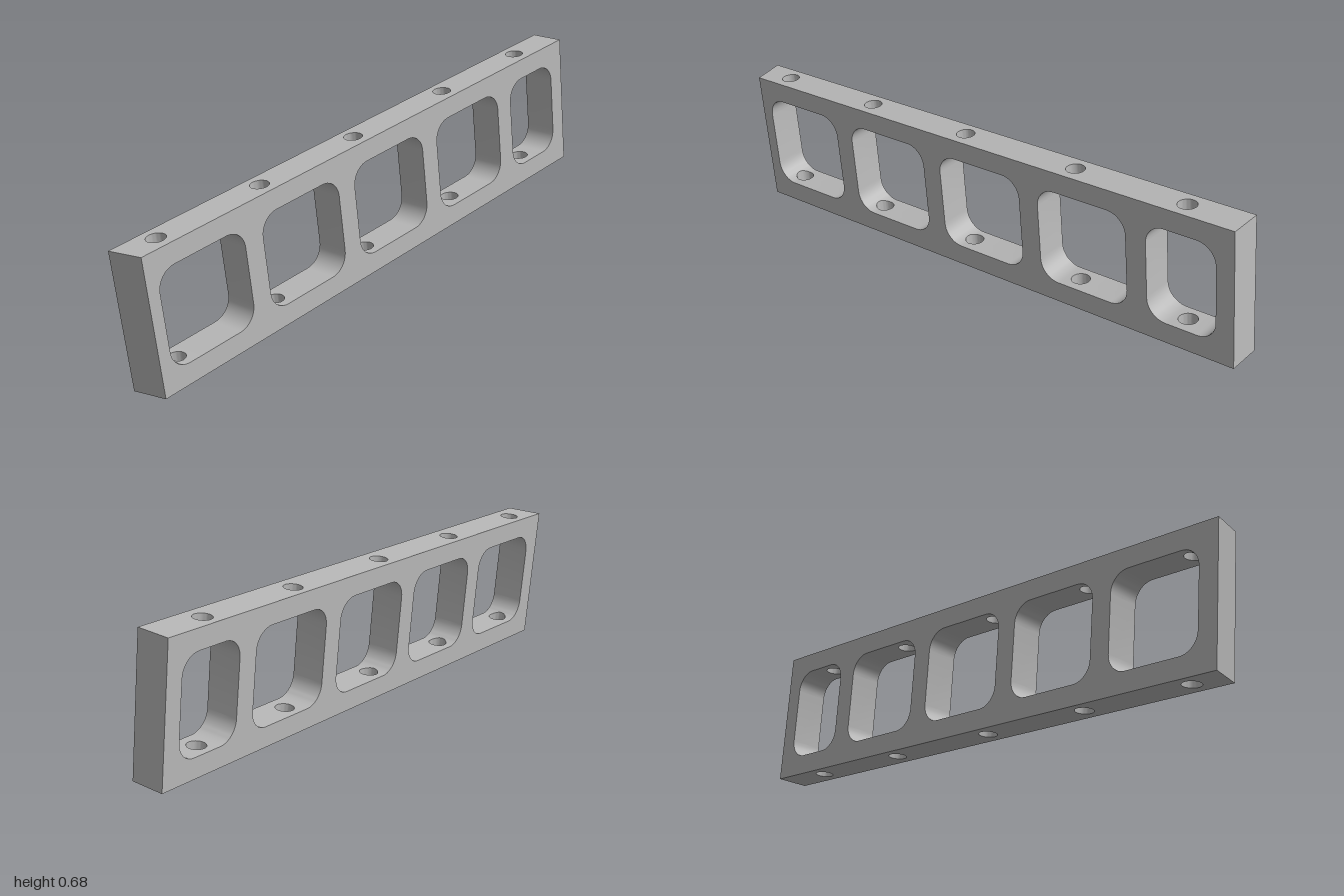
import * as THREE from 'three';
import { toCreasedNormals } from 'three/addons/utils/BufferGeometryUtils.js';

// Bar sizes: u runs along the bar, v up, w from the back (-D) to the front (0)
const L = 1.943, H = 0.456, D = 0.1115, SKEW = 0.025;
const RAIL = 0.068, FILLET = 0.065, BORE = 0.03, BORE_W = -0.058;
const windows = [
  { start: 0.042, end: 0.37, bore: 0.102 },
  { start: 0.442, end: 0.77, bore: 0.505 },
  { start: 0.842, end: 1.17, bore: 0.915 },
  { start: 1.243, end: 1.571, bore: 1.352 },
  { start: 1.643, end: 1.882, bore: 1.75 },
];

// Height of a window's floor, rising into the rounded corners
function floorAt(win, u) {
  const d = Math.min(FILLET, Math.max(0, win.start + FILLET - u, u - win.end + FILLET));
  return RAIL + FILLET - Math.sqrt(FILLET * FILLET - d * d);
}

// Half the chord of the round bore at u
function chordAt(win, u) {
  return Math.sqrt(Math.max(0, BORE * BORE - (u - win.bore) ** 2));
}

// Stations along the floor, dense in the corners and across the bore
function stations(win, withBore) {
  const list = [];
  for (let i = 0; i <= 10; i++) {
    const d = FILLET * (1 - Math.cos((i / 10) * Math.PI / 2));
    list.push(win.start + d, win.end - d);
  }
  if (withBore) {
    for (let i = 0; i <= 16; i++) list.push(win.bore - BORE * Math.cos((i / 16) * Math.PI));
  }
  list.sort((a, b) => a - b);
  return list.filter((u, i) => i === 0 || u - list[i - 1] > 1e-5);
}

function addQuad(out, a, b, c, d, flip) {
  const order = flip ? [a, c, b, a, d, c] : [a, b, c, a, c, d];
  for (const p of order) out.push(...p);
}

// Flat shape placed in the bar by a rule
function addShape(out, outline, holes, place, flip) {
  const shape = new THREE.Shape(outline);
  shape.holes = holes.map((points) => new THREE.Path(points));
  const flat = new THREE.ShapeGeometry(shape).toNonIndexed().attributes.position;
  for (let i = 0; i < flat.count; i += 3) {
    for (const k of flip ? [0, 2, 1] : [0, 1, 2]) out.push(...place(flat.getX(i + k), flat.getY(i + k)));
  }
}

function makeMesh(name, positions, material) {
  const geometry = new THREE.BufferGeometry();
  geometry.setAttribute('position', new THREE.Float32BufferAttribute(positions, 3));
  const mesh = new THREE.Mesh(toCreasedNormals(geometry, 0.6), material);
  mesh.name = name;
  return mesh;
}

const point = (x, y) => new THREE.Vector2(x, y);

export function createModel() {
  const metal = new THREE.MeshStandardMaterial({ color: 0xb8b8b8, side: THREE.DoubleSide });
  metal.name = 'plain grey';
  const bar = new THREE.Group();
  bar.name = 'windowedBar';

  // Front and back faces with rounded windows
  const openings = windows.map((win) => {
    const us = stations(win, false);
    const low = us.map((u) => point(u, floorAt(win, u)));
    const high = us.map((u) => point(u, H - floorAt(win, u))).reverse();
    return [...low, ...high];
  });
  const faceOutline = (left) => [point(left, 0), point(L, 0), point(L, H), point(left, H)];
  const front = [], back = [];
  addShape(front, faceOutline(0), openings, (u, v) => [u, v, 0], false);
  addShape(back, faceOutline(-SKEW), openings, (u, v) => [u, v, -D], true);
  bar.add(makeMesh('frontFace', front, metal), makeMesh('backFace', back, metal));

  // Top and bottom faces with bore mouths
  const mouths = windows.map((win) => Array.from({ length: 32 }, (_, i) => {
    const a = (i / 32) * Math.PI * 2;
    return point(win.bore + BORE * Math.cos(a), BORE_W + BORE * Math.sin(a));
  }));
  const plan = [point(-SKEW, -D), point(L, -D), point(L, 0), point(0, 0)];
  for (const [name, v] of [['topFace', H], ['bottomFace', 0]]) {
    const out = [];
    addShape(out, plan, mouths, (u, w) => [u, v, w], v > 0);
    bar.add(makeMesh(name, out, metal));
  }

  // Ends: the left one is slightly slanted
  const ends = [];
  addQuad(ends, [L, 0, -D], [L, H, -D], [L, H, 0], [L, 0, 0], false);
  addQuad(ends, [-SKEW, 0, -D], [-SKEW, H, -D], [0, H, 0], [0, 0, 0], true);
  bar.add(makeMesh('endFaces', ends, metal));

  // Window linings and the bores through both rails
  windows.forEach((win, index) => {
    const lining = [], bores = [];
    const us = stations(win, true);
    for (const upper of [false, true]) {
      const at = (u, v, w) => [u, upper ? H - v : v, w];
      for (let i = 0; i + 1 < us.length; i++) {
        const a = us[i], b = us[i + 1];
        const fa = floorAt(win, a), fb = floorAt(win, b);
        const ha = chordAt(win, a), hb = chordAt(win, b);
        addQuad(lining, at(a, fa, -D), at(a, fa, BORE_W - ha), at(b, fb, BORE_W - hb), at(b, fb, -D), upper);
        addQuad(lining, at(a, fa, BORE_W + ha), at(a, fa, 0), at(b, fb, 0), at(b, fb, BORE_W + hb), upper);
        if (ha + hb < 1e-4) continue;
        for (const s of [1, -1]) {
          const wa = BORE_W + s * ha, wb = BORE_W + s * hb;
          addQuad(bores, at(a, 0, wa), at(a, fa, wa), at(b, fb, wb), at(b, 0, wb), upper !== (s < 0));
        }
      }
    }
    const v0 = RAIL + FILLET, v1 = H - v0;
    for (const u of [win.start, win.end]) {
      addQuad(lining, [u, v0, -D], [u, v1, -D], [u, v1, 0], [u, v0, 0], u === win.end);
    }
    bar.add(makeMesh(`windowLining${index + 1}`, lining, metal));
    bar.add(makeMesh(`boreWalls${index + 1}`, bores, metal));
  });

  // Tilt and turn the bar into place
  const along = new THREE.Vector3(0.98, 0.1124, -0.165).normalize();
  const out = new THREE.Vector3().crossVectors(along, new THREE.Vector3(-0.116, 0.993, 0)).normalize();
  const up = new THREE.Vector3().crossVectors(out, along);
  bar.applyMatrix4(new THREE.Matrix4().makeBasis(along, up, out).setPosition(-0.905, 0.005, 0.215));

  const model = new THREE.Group();
  model.name = 'model';
  model.add(bar);
  return model;
}
